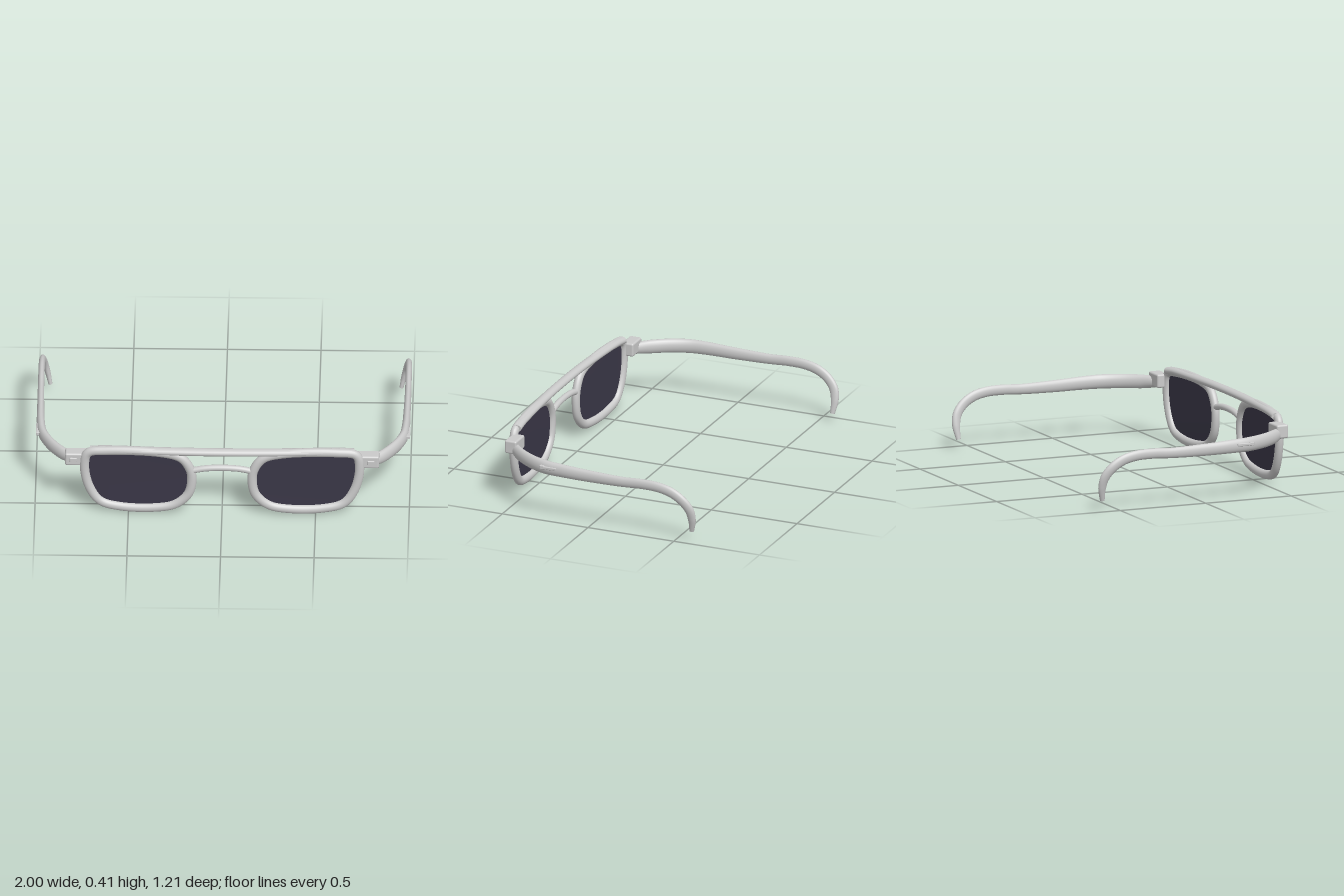
import * as THREE from 'three';
import { RoundedBoxGeometry } from 'three/addons/geometries/RoundedBoxGeometry.js';

const frameGrey = new THREE.MeshStandardMaterial({ color: 0xcacaca });
frameGrey.name = 'frame grey';
const lensDark = new THREE.MeshStandardMaterial({ color: 0x3a3747, side: THREE.DoubleSide });
lensDark.name = 'dark lens';

const V = (x, y, z) => new THREE.Vector3(x, y, z);
// wrap of the front, set back towards the sides
const wrapZ = (x) => 0.58 - 0.055 * x * x;

// Sweep an elliptical section along a path; radii = list of [side, up] spread along the path points
function sweep(points, radii, upOf, { closed = false, steps = 64, sides = 20 } = {}) {
  const curve = new THREE.CatmullRomCurve3(points, closed, 'centripetal');
  const pos = [], idx = [], rings = closed ? steps : steps + 1;
  for (let i = 0; i < rings; i++) {
    const t = i / steps, p = curve.getPoint(t), T = curve.getTangent(t);
    const W = upOf(T).clone();
    W.addScaledVector(T, -W.dot(T)).normalize();
    const S = T.clone().cross(W);
    const f = t * (radii.length - 1), k = Math.min(Math.floor(f), Math.max(radii.length - 2, 0));
    const r0 = radii[k], r1 = radii[Math.min(k + 1, radii.length - 1)];
    const a = THREE.MathUtils.lerp(r0[0], r1[0], f - k), b = THREE.MathUtils.lerp(r0[1], r1[1], f - k);
    for (let j = 0; j < sides; j++) {
      const q = (j / sides) * Math.PI * 2;
      const v = p.clone().addScaledVector(S, a * Math.cos(q)).addScaledVector(W, b * Math.sin(q));
      pos.push(v.x, v.y, v.z);
    }
  }
  for (let i = 0; i < steps; i++) {
    for (let j = 0; j < sides; j++) {
      const n = (j + 1) % sides, i1 = (i + 1) % rings;
      const a = i * sides + j, b = i1 * sides + j, c = i * sides + n, d = i1 * sides + n;
      idx.push(a, b, c, b, d, c);
    }
  }
  // flat end caps with their own vertices
  if (!closed) {
    for (const end of [0, 1]) {
      const base = pos.length / 3, from = end ? steps * sides : 0, p = curve.getPoint(end);
      for (let j = 0; j < sides; j++) pos.push(...pos.slice((from + j) * 3, (from + j) * 3 + 3));
      pos.push(p.x, p.y, p.z);
      for (let j = 0; j < sides; j++) {
        const a = base + j, b = base + ((j + 1) % sides);
        idx.push(base + sides, ...(end ? [b, a] : [a, b]));
      }
    }
  }
  const g = new THREE.BufferGeometry();
  g.setAttribute('position', new THREE.Float32BufferAttribute(pos, 3));
  g.setIndex(idx);
  g.computeVertexNormals();
  return { geometry: g, curve };
}

function add(parent, name, geometry, material = frameGrey, position = [0, 0, 0]) {
  const mesh = new THREE.Mesh(geometry, material);
  mesh.name = name;
  mesh.position.set(...position);
  parent.add(mesh);
  return mesh;
}

// rim centre line
const RIM = [
  [0.161, 0.22], [0.18, 0.13], [0.25, 0.062], [0.36, 0.036], [0.54, 0.036], [0.65, 0.066], [0.71, 0.155],
  [0.735, 0.29], [0.716, 0.368], [0.62, 0.387], [0.33, 0.387], [0.22, 0.357], [0.172, 0.29],
];

// temple centre line with half thickness and half height
const TEMPLE = [
  [0.80, 0.308, 0.515, 0.024, 0.032], [0.86, 0.304, 0.455, 0.024, 0.038], [0.92, 0.302, 0.37, 0.024, 0.039],
  [0.963, 0.30, 0.27, 0.024, 0.039], [0.975, 0.298, 0.17, 0.022, 0.037], [0.979, 0.293, 0, 0.019, 0.033],
  [0.981, 0.292, -0.2, 0.017, 0.028], [0.981, 0.297, -0.3, 0.017, 0.028], [0.981, 0.293, -0.4, 0.017, 0.028],
  [0.979, 0.274, -0.475, 0.017, 0.028], [0.975, 0.236, -0.535, 0.017, 0.027], [0.965, 0.185, -0.574, 0.016, 0.026],
  [0.952, 0.125, -0.585, 0.015, 0.022], [0.938, 0.056, -0.578, 0.011, 0.013],
];

function sideParts(s) {
  const side = new THREE.Group();
  side.name = s > 0 ? 'leftSide' : 'rightSide';

  // rim
  const rim = sweep(RIM.map(([x, y]) => V(s * x, y, wrapZ(x))), [[0.025, 0.022]], () => V(0, 0, 1),
    { closed: true, steps: 96 });
  add(side, 'rim', rim.geometry);

  // lens, filling the rim and following the wrap
  const outline = rim.curve.getPoints(96).slice(0, -1).map((p) => new THREE.Vector2(p.x, p.y));
  const lens = new THREE.ShapeGeometry(new THREE.Shape(outline));
  const P = lens.attributes.position;
  for (let i = 0; i < P.count; i++) P.setZ(i, wrapZ(P.getX(i)));
  lens.computeVertexNormals();
  add(side, 'lens', lens, lensDark);

  // hinge block with a small raised plate
  add(side, 'hingeBlock', new RoundedBoxGeometry(0.118, 0.074, 0.068, 3, 0.01), frameGrey, [s * 0.78, 0.324, 0.524]);
  add(side, 'hingePlate', new RoundedBoxGeometry(0.04, 0.026, 0.016, 2, 0.005), frameGrey, [s * 0.795, 0.325, 0.557]);

  // temple with the hook behind the ear
  const temple = sweep(TEMPLE.map(([x, y, z]) => V(s * x, y, z)), TEMPLE.map((p) => [p[3], p[4]]),
    (T) => V(0, -T.z, T.y), { steps: 104 });
  add(side, 'temple', temple.geometry);

  // slim inlay on the outside of the temple
  add(side, 'templeInlay', new RoundedBoxGeometry(0.022, 0.016, 0.095, 2, 0.004), frameGrey, [s * 0.989, 0.306, 0.237]);
  add(side, 'templeInlayHead', new RoundedBoxGeometry(0.022, 0.021, 0.026, 2, 0.004), frameGrey, [s * 0.989, 0.307, 0.273]);
  return side;
}

export function createModel() {
  const model = new THREE.Group();
  model.name = 'glasses';
  model.add(sideParts(1), sideParts(-1));

  // brow bar across the top
  const bar = [[-0.705, 0.383], [-0.62, 0.391], [-0.3, 0.395], [0, 0.396], [0.3, 0.395], [0.62, 0.391], [0.705, 0.383]]
    .map(([x, y]) => V(x, y, 0.578 - 0.065 * x * x));
  add(model, 'browBar', sweep(bar, [[0.027, 0.02]], () => V(0, 1, 0)).geometry);

  // nose bridge
  const bridge = [[-0.165, 0.277], [-0.09, 0.293], [0, 0.298], [0.09, 0.293], [0.165, 0.277]]
    .map(([x, y]) => V(x, y, wrapZ(x)));
  add(model, 'bridge', sweep(bridge, [[0.017, 0.017]], () => V(0, 1, 0), { steps: 32 }).geometry);
  return model;
}
